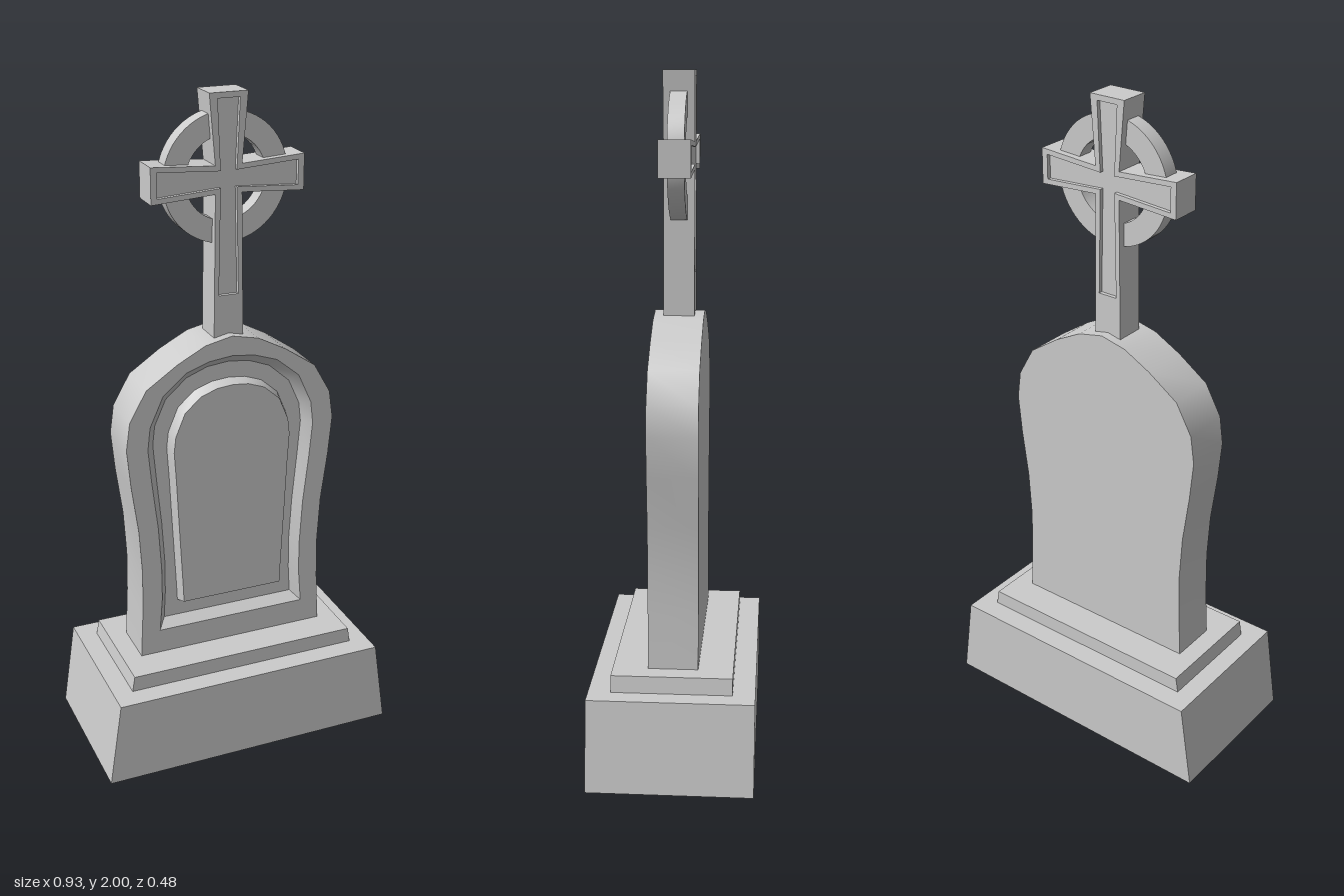
import * as THREE from 'three';
import { toCreasedNormals } from 'three/addons/utils/BufferGeometryUtils.js';

const stone = new THREE.MeshStandardMaterial({ color: 0xcccccc });

// Mirrors a right-hand half outline (bottom to top) into a closed counter-clockwise loop.
function mirror(half) {
  const left = half.filter(p => p[0] > 0).map(([x, y]) => [-x, y]).reverse();
  return [...half, ...left];
}

// Skins matching outlines from back to front and caps both ends.
function skin(name, sections) {
  const loops = sections.map(([half, z]) => mirror(half).map(([x, y]) => new THREE.Vector3(x, y, z)));
  const pos = [];
  const tri = (...pts) => pts.forEach(p => pos.push(p.x, p.y, p.z));
  for (let k = 0; k + 1 < loops.length; k++) {
    const a = loops[k], b = loops[k + 1];
    for (let i = 0; i < a.length; i++) {
      const j = (i + 1) % a.length;
      tri(a[i], a[j], b[j]);
      tri(a[i], b[j], b[i]);
    }
  }
  const cap = (loop, flip) => {
    const flat = loop.map(p => new THREE.Vector2(p.x, p.y));
    for (const [a, b, c] of THREE.ShapeUtils.triangulateShape(flat, [])) {
      if (flip) tri(loop[c], loop[b], loop[a]);
      else tri(loop[a], loop[b], loop[c]);
    }
  };
  cap(loops[0], true);
  cap(loops[loops.length - 1], false);
  const geo = new THREE.BufferGeometry();
  geo.setAttribute('position', new THREE.Float32BufferAttribute(pos, 3));
  const mesh = new THREE.Mesh(toCreasedNormals(geo, 0.55), stone);
  mesh.name = name;
  return mesh;
}

// Half outline of a cross with flared ends.
const crossY = 1.763;
const crossHalf = (bottom, top, reach, wBottom, wMid, wTop, hArm) => [
  [wBottom, bottom], [wMid, crossY - wMid], [reach, crossY - hArm],
  [reach, crossY + hArm], [wMid, crossY + wMid], [wTop, top],
];

export function createModel() {
  const group = new THREE.Group();

  // Tapered plinth and step
  const plinth = [[0.463, 0], [0.424, 0.265]];
  const step = [[0.365, 0.265], [0.357, 0.313]];
  group.add(skin('plinth', [[plinth, -0.24], [plinth, 0.24]]));
  group.add(skin('step', [[step, -0.175], [step, 0.175]]));

  // Arched slab with a chamfered recess and a raised inner panel
  const slab = [[0.299, 0.313], [0.291, 0.47], [0.289, 0.6], [0.297, 0.74], [0.317, 0.89], [0.328, 1.01],
    [0.316, 1.095], [0.264, 1.187], [0.168, 1.252], [0.082, 1.297], [0, 1.315]];
  const rim = [[0.237, 0.39], [0.228, 0.5], [0.228, 0.6], [0.236, 0.74], [0.253, 0.89], [0.263, 1.0],
    [0.255, 1.07], [0.213, 1.163], [0.142, 1.222], [0.07, 1.247], [0, 1.255]];
  const floor = [[0.212, 0.415], [0.207, 0.5], [0.206, 0.6], [0.214, 0.74], [0.228, 0.89], [0.237, 1.0],
    [0.23, 1.06], [0.195, 1.138], [0.13, 1.195], [0.065, 1.22], [0, 1.227]];
  const panel = [[0.168, 0.467], [0.17, 0.52], [0.174, 0.6], [0.181, 0.74], [0.188, 0.89], [0.194, 0.985],
    [0.188, 1.035], [0.157, 1.108], [0.105, 1.153], [0.052, 1.172], [0, 1.177]];
  const panelFace = panel.map(([x, y]) => [x * 0.95, 0.82 + (y - 0.82) * 0.973]);
  group.add(skin('slab', [
    [slab, -0.073], [slab, 0.073], [rim, 0.073], [floor, 0.042], [panel, 0.042], [panelFace, 0.078],
  ]));

  // Cross with a sunken inlay on both faces
  const outer = crossHalf(1.3, 2, 0.228, 0.045, 0.04, 0.057, 0.052);
  const inlay = crossHalf(1.43, 1.984, 0.21, 0.03, 0.024, 0.033, 0.036);
  group.add(skin('cross', [
    [inlay, -0.033], [inlay, -0.045], [outer, -0.045], [outer, 0.045], [inlay, 0.045], [inlay, 0.033],
  ]));

  // Ring behind the cross arms
  const shape = new THREE.Shape().absarc(0, 0, 0.186, 0, Math.PI * 2);
  shape.holes.push(new THREE.Path().absarc(0, 0, 0.12, 0, Math.PI * 2, true));
  const ringGeo = new THREE.ExtrudeGeometry(shape, { depth: 0.048, bevelEnabled: false, curveSegments: 32 });
  ringGeo.translate(0, crossY, -0.024);
  const ring = new THREE.Mesh(toCreasedNormals(ringGeo, 0.55), stone);
  ring.name = 'ring';
  group.add(ring);

  return group;
}
